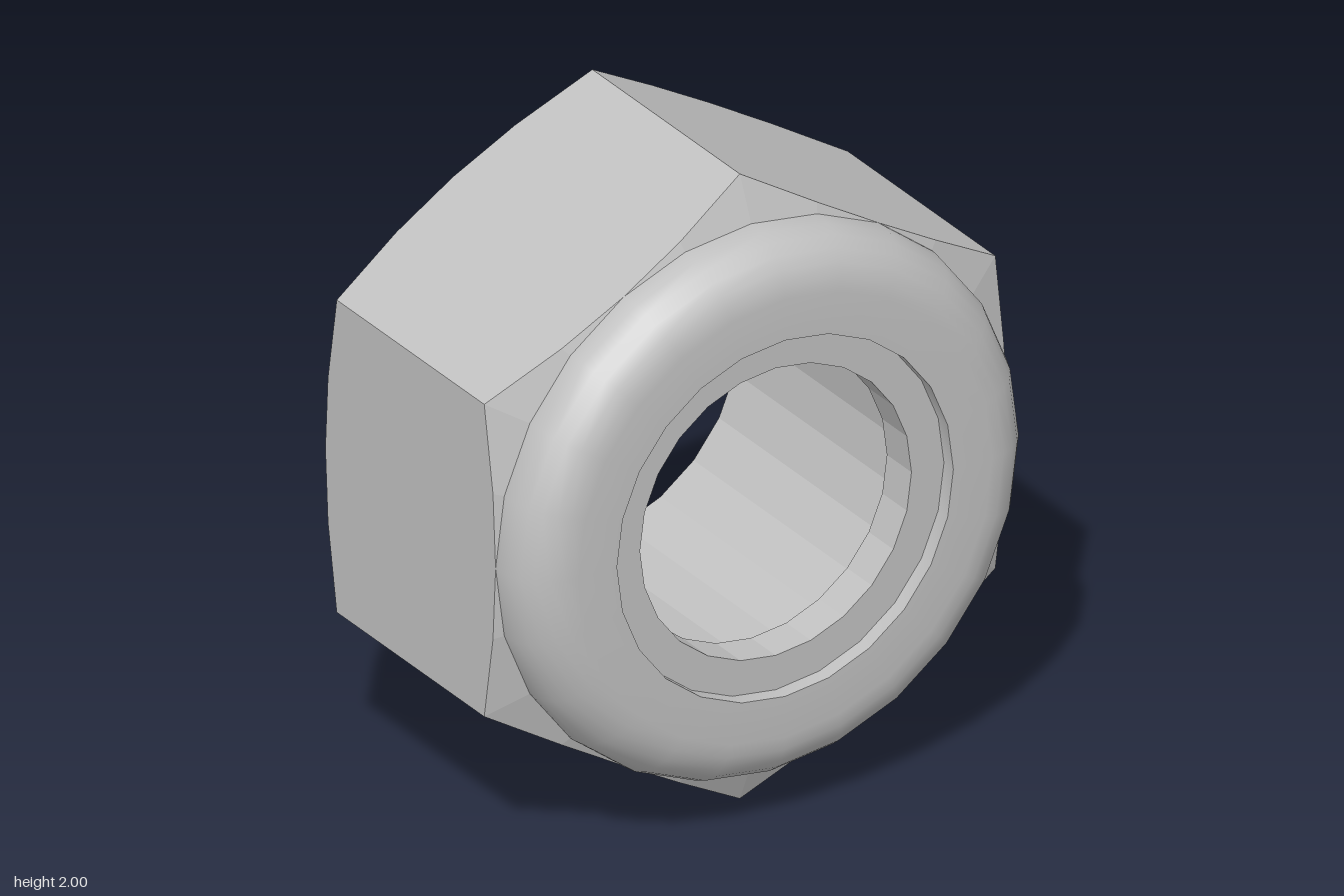
import * as THREE from 'three';
import { toCreasedNormals } from 'three/addons/utils/BufferGeometryUtils.js';

const SIDES = 24;
const APOTHEM = Math.sqrt(3) / 2;

// Sweeps a profile of [radius, z] rings around the z axis; a ring may also be a function of angle.
function ringSurface(profile, crease) {
  const pos = [];
  const point = (ring, j) => {
    const a = Math.PI / 2 + (j / SIDES) * Math.PI * 2;
    const [r, z] = typeof ring === 'function' ? ring(j) : ring;
    return new THREE.Vector3(r * Math.cos(a), r * Math.sin(a), z);
  };
  const triangle = (a, b, c) => {
    const area = b.clone().sub(a).cross(c.clone().sub(a)).length();
    if (area > 1e-6) for (const p of [a, b, c]) pos.push(p.x, p.y, p.z);
  };
  for (let i = 0; i < profile.length - 1; i++) {
    for (let j = 0; j < SIDES; j++) {
      const a = point(profile[i], j), b = point(profile[i], j + 1);
      const c = point(profile[i + 1], j + 1), d = point(profile[i + 1], j);
      triangle(a, b, c);
      triangle(a, c, d);
    }
  }
  const geometry = new THREE.BufferGeometry();
  geometry.setAttribute('position', new THREE.Float32BufferAttribute(pos, 3));
  geometry.computeVertexNormals();
  return crease ? toCreasedNormals(geometry, crease) : geometry;
}

// Hexagon outline whose edge dips towards the corners where the chamfer cone cuts it.
function hexRing(faceZ) {
  return (j) => {
    const fromMid = (((j % 4) - 2) / SIDES) * Math.PI * 2;
    const r = APOTHEM / Math.cos(fromMid);
    const drop = ((r - APOTHEM) / (1 - APOTHEM)) * 0.06;
    return [r, faceZ - Math.sign(faceZ) * drop];
  };
}

export function createModel() {
  const steel = new THREE.MeshStandardMaterial({ color: 0xc0c0c0 });
  steel.name = 'steel grey';
  const group = new THREE.Group();
  group.name = 'lockNut';
  const add = (name, geometry) => {
    const mesh = new THREE.Mesh(geometry, steel);
    mesh.name = name;
    mesh.position.y = 1;
    group.add(mesh);
  };

  // Hexagonal body with faceted bore and chamfered ends
  add('hexBody', ringSurface([
    [0.54, 0.36], [0.54, -0.54], [APOTHEM, -0.54],
    hexRing(-0.54), hexRing(0.36), [APOTHEM, 0.36],
  ]));

  // Rounded collar on the front
  const collar = [[APOTHEM, 0.36]];
  const fillet = 0.165;
  for (let i = 0; i <= 6; i++) {
    const t = (i / 6) * Math.PI / 2;
    collar.push([APOTHEM - fillet + fillet * Math.cos(t), 0.54 - fillet + fillet * Math.sin(t)]);
  }
  collar.push([0.57, 0.54], [0.57, 0.49]);
  add('collar', ringSurface(collar, 0.45));

  // Locking ring recessed inside the collar
  add('lockingInsert', ringSurface([[0.57, 0.49], [0.46, 0.49], [0.46, 0.36], [0.54, 0.36]]));

  return group;
}
